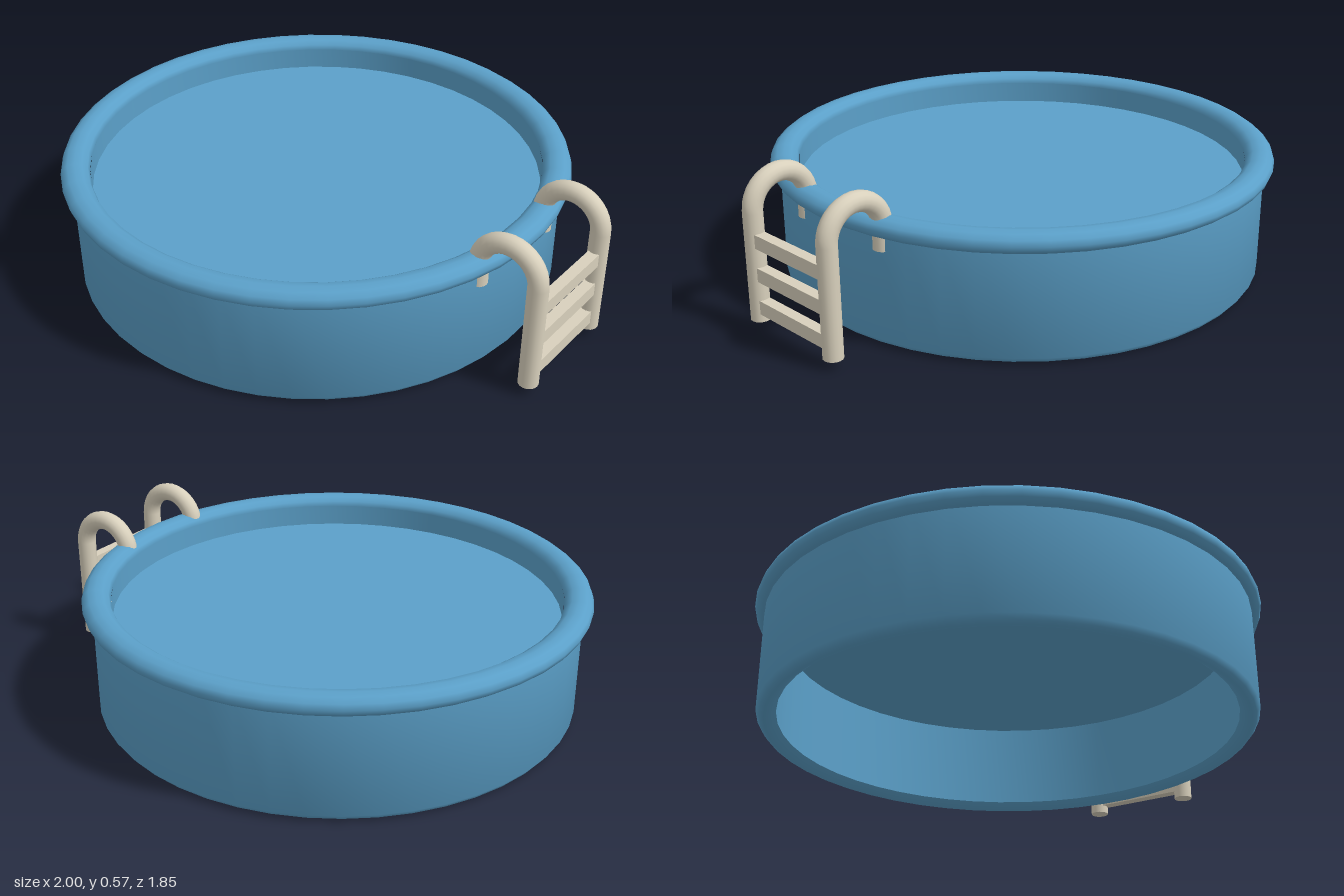
import * as THREE from 'three';
import { toCreasedNormals } from 'three/addons/utils/BufferGeometryUtils.js';

const SEGMENTS = 48;

export function createModel() {
  const blue = new THREE.MeshStandardMaterial({ color: 0x5ba0c9 });
  blue.name = 'pool blue';
  const cream = new THREE.MeshStandardMaterial({ color: 0xd8d0bc });
  cream.name = 'ladder cream';

  const model = new THREE.Group();
  model.name = 'swimmingPool';

  function add(parent, name, geometry, material, x = 0, y = 0, z = 0) {
    const mesh = new THREE.Mesh(geometry, material);
    mesh.name = name;
    mesh.position.set(x, y, z);
    parent.add(mesh);
    return mesh;
  }

  // Round pool, offset so that the ladder fits within the overall width
  const pool = new THREE.Group();
  pool.name = 'pool';
  pool.position.x = -0.075;
  model.add(pool);

  // Hollow wall with bevelled foot: inside top, down, under the foot, up the outside
  const profile = [
    [0.82, 0.43], [0.82, 0.025], [0.85, 0], [0.862, 0], [0.877, 0.007], [0.89, 0.025], [0.89, 0.43],
  ].map(([r, y]) => new THREE.Vector2(r, y)).reverse();
  const wallGeometry = new THREE.LatheGeometry(profile.reverse(), SEGMENTS);
  add(pool, 'wall', toCreasedNormals(wallGeometry, 0.7), blue);

  // Puffy top rim, an oval in cross-section
  const rimGeometry = new THREE.TorusGeometry(0.873, 0.052, 12, SEGMENTS);
  rimGeometry.rotateX(Math.PI / 2);
  rimGeometry.scale(1, 0.038 / 0.052, 1);
  add(pool, 'rim', rimGeometry, blue, 0, 0.428, 0);

  // Water surface, seen from above and from below
  for (const side of [1, -1]) {
    const disc = new THREE.CircleGeometry(0.822, SEGMENTS);
    disc.rotateX(-side * Math.PI / 2);
    add(pool, side > 0 ? 'waterSurface' : 'waterUnderside', disc, blue, 0, 0.348 + side * 0.001, 0);
  }

  // Ladder hooked over the rim; its local x points away from the pool centre
  const ladder = new THREE.Group();
  ladder.name = 'ladder';
  ladder.rotation.y = -THREE.MathUtils.degToRad(27.1);
  pool.add(ladder);

  const legX = 1.064, halfWidth = 0.196, tube = 0.035, bend = 0.111, bendY = 0.425;
  const upright = (bottom) => new THREE.CylinderGeometry(tube, tube, bendY - bottom, 16);
  for (const z of [-halfWidth, halfWidth]) {
    const rail = new THREE.Group();
    rail.name = z > 0 ? 'frontRail' : 'backRail';
    rail.position.z = z;
    ladder.add(rail);
    add(rail, 'outerLeg', upright(0.035), cream, legX, (bendY + 0.035) / 2);
    add(rail, 'hookEnd', upright(0.345), cream, legX - 2 * bend, (bendY + 0.345) / 2);
    add(rail, 'bend', new THREE.TorusGeometry(bend, tube, 16, 16, Math.PI), cream, legX - bend, bendY);
  }

  // Flat rungs between the outer legs
  for (const y of [0.09, 0.21, 0.33]) {
    add(ladder, 'rung', new THREE.BoxGeometry(0.04, 0.05, 2 * halfWidth - 0.02), cream, legX, y);
  }

  return model;
}
